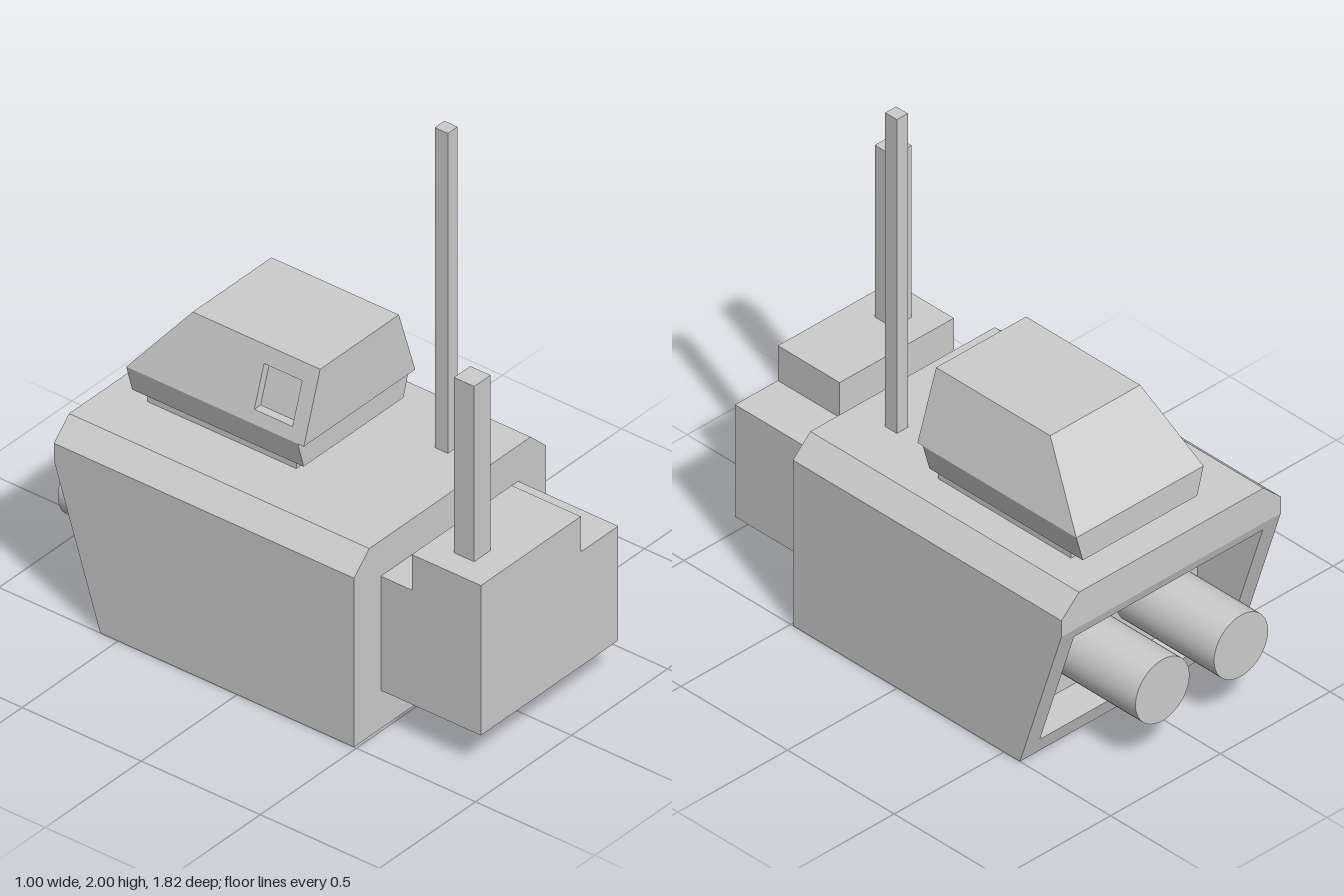
import * as THREE from 'three';

const grey = new THREE.MeshStandardMaterial({ color: 0xcccccc, flatShading: true });
const smoothGrey = new THREE.MeshStandardMaterial({ color: 0xcccccc });

// Fan of triangles over a convex polygon, corners counter-clockwise from outside
function face(out, ...p) {
  for (let i = 1; i < p.length - 1; i++) out.push(...p[0], ...p[i], ...p[i + 1]);
}

// Strip of quads joining two closed rings
function band(out, a, b, skip = -1) {
  a.forEach((p, i) => {
    const j = (i + 1) % a.length;
    if (i !== skip) face(out, p, a[j], b[j], b[i]);
  });
}

// Face with a recess: border, inner walls and floor
function recessedFace(out, outer, hole, floor) {
  band(out, outer, hole);
  band(out, hole, floor);
  face(out, ...floor);
}

function mesh(name, geometry, material = grey) {
  const m = new THREE.Mesh(geometry, material);
  m.name = name;
  return m;
}

function solid(name, positions) {
  const g = new THREE.BufferGeometry();
  g.setAttribute('position', new THREE.Float32BufferAttribute(positions, 3));
  g.computeVertexNormals();
  return mesh(name, g);
}

function box(name, x0, x1, y0, y1, z0, z1) {
  const g = new THREE.BoxGeometry(x1 - x0, y1 - y0, z1 - z0);
  g.translate((x0 + x1) / 2, (y0 + y1) / 2, (z0 + z1) / 2);
  return mesh(name, g);
}

// Horizontal rectangle, counter-clockwise from above, starting at the front
const rect = (y, x0, x1, z0, z1) => [[x0, y, z1], [x1, y, z1], [x1, y, z0], [x0, y, z0]];

function createBody() {
  const section = [[-0.5, 0], [0.5, 0], [0.5, 0.6], [0.5, 0.665],
    [0.42, 0.74], [-0.42, 0.74], [-0.5, 0.665], [-0.5, 0.6]];
  const rearZ = (y) => -0.575 - 0.195 * Math.min(1, y / 0.6);
  const front = section.map(([x, y]) => [x, y, 0.49]);
  const back = section.map(([x, y]) => [x, y, rearZ(y)]);
  const out = [];
  band(out, back, front);
  face(out, ...front);
  face(out, ...back.slice(2).reverse());
  // Slanted rear face with the exhaust bay
  const corners = (w, y0, y1, z) =>
    [[w, y0], [-w, y0], [-w, y1], [w, y1]].map(([x, y]) => [x, y, z(y)]);
  recessedFace(out, corners(0.5, 0, 0.6, rearZ),
    corners(0.43, 0.065, 0.56, rearZ), corners(0.43, 0.065, 0.56, () => -0.45));
  return solid('body', out);
}

function createTurret() {
  const turret = new THREE.Group();
  turret.name = 'turret';
  turret.add(box('turretBase', -0.205, 0.305, 0.74, 0.77, -0.615, 0.01));

  // Collar widening upward
  const collar = [];
  const c0 = rect(0.765, -0.21, 0.31, -0.675, 0.045);
  const c1 = rect(0.87, -0.24, 0.34, -0.675, 0.045);
  band(collar, c0, c1);
  face(collar, ...[...c0].reverse());
  face(collar, ...c1);
  turret.add(solid('turretCollar', collar));

  // Sloped hood with a window recess in its right side
  const hood = [];
  const h0 = rect(0.87, -0.24, 0.34, -0.675, 0.07);
  const h1 = rect(1.13, -0.155, 0.255, -0.465, 0.07);
  band(hood, h0, h1, 3);
  face(hood, ...[...h0].reverse());
  face(hood, ...h1);
  const sideX = (y) => -0.24 + (y - 0.87) * 0.085 / 0.26;
  const windowAt = (depth) => [[0.916, -0.15], [0.916, 0.01], [1.07, 0.01], [1.07, -0.15]]
    .map(([y, z]) => [sideX(y) + depth, y, z]);
  recessedFace(hood, [h0[3], h0[0], h1[0], h1[3]], windowAt(0), windowAt(0.033));
  turret.add(solid('turretHood', hood));
  return turret;
}

export function createModel() {
  const model = new THREE.Group();
  model.name = 'vehicle';
  model.add(createBody(), createTurret());

  // Front housing with its raised block
  model.add(box('frontHousing', -0.36, 0.355, 0.15, 0.6, 0.49, 0.91));
  model.add(box('raisedBlock', -0.36, 0.16, 0.6, 0.74, 0.62, 0.91));

  // Upright posts
  model.add(box('shortPost', -0.265, -0.18, 0.74, 1.43, 0.72, 0.805));
  model.add(box('tallPost', 0.175, 0.225, 0.74, 2, 0.285, 0.34));

  // Twin rear exhausts
  for (const [name, x] of [['rightExhaust', -0.182], ['leftExhaust', 0.176]]) {
    const exhaust = mesh(name, new THREE.CylinderGeometry(0.123, 0.123, 0.46, 40), smoothGrey);
    exhaust.rotation.x = Math.PI / 2;
    exhaust.position.set(x, 0.297, -0.68);
    model.add(exhaust);
  }
  return model;
}
